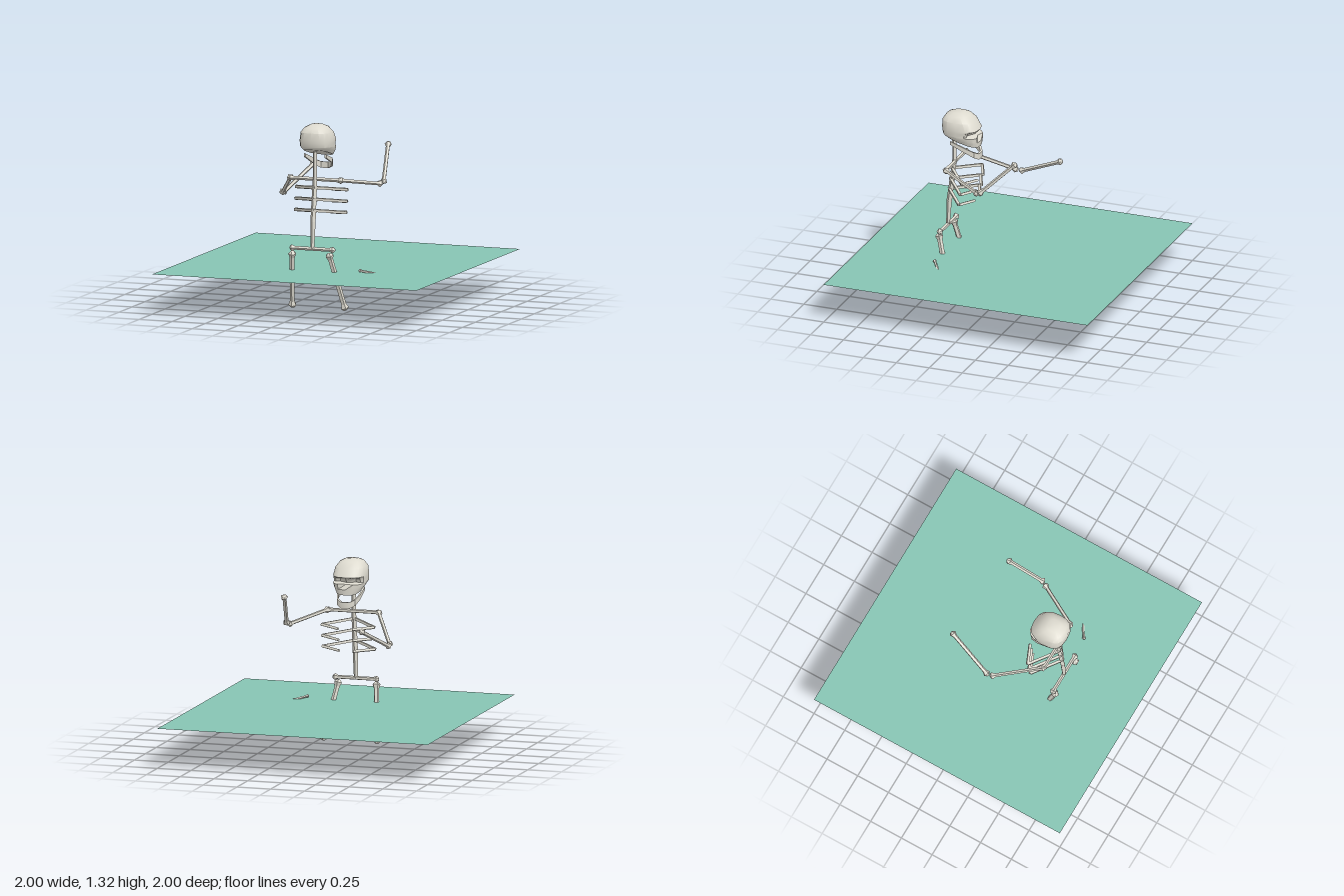
import * as THREE from 'three';
import { toCreasedNormals } from 'three/addons/utils/BufferGeometryUtils.js';

const V = (x, y, z) => new THREE.Vector3(x, y, z);
const boneMat = new THREE.MeshStandardMaterial({ color: 0xdedbd0, flatShading: true });
const skullMat = new THREE.MeshStandardMaterial({ color: 0xdedbd0, side: THREE.DoubleSide });
const groundMat = new THREE.MeshStandardMaterial({ color: 0x86c4b3, side: THREE.DoubleSide });

// Skin a list of equal-length rings and cap both ends
function loft(rings) {
  const n = rings[0].length, tris = [];
  for (let i = 0; i < rings.length - 1; i++) {
    for (let j = 0; j < n; j++) {
      const k = (j + 1) % n;
      const a = rings[i][j], b = rings[i][k], c = rings[i + 1][k], d = rings[i + 1][j];
      tris.push(a, b, c, a, c, d);
    }
  }
  const cap = (ring, flip) => {
    const mid = V(0, 0, 0);
    ring.forEach(p => mid.addScaledVector(p, 1 / n));
    ring.forEach((p, j) => {
      const q = ring[(j + 1) % n];
      if (flip) tris.push(mid, q, p); else tris.push(mid, p, q);
    });
  };
  cap(rings[0], true);
  cap(rings[rings.length - 1], false);
  return toCreasedNormals(new THREE.BufferGeometry().setFromPoints(tris), 0.6);
}

// Place a y-axis geometry so that it runs from a to b
function align(geometry, a, b, name) {
  const mesh = new THREE.Mesh(geometry, boneMat);
  mesh.name = name;
  mesh.position.copy(a);
  mesh.quaternion.setFromUnitVectors(V(0, 1, 0), b.clone().sub(a).normalize());
  return mesh;
}

// Bone with a knob at each end; the knobs reach a little past a and b
function bone(name, a, b, r, k) {
  const dir = b.clone().sub(a).normalize(), e = k * 0.7;
  const p = a.clone().addScaledVector(dir, -e), q = b.clone().addScaledVector(dir, e);
  const L = p.distanceTo(q);
  const profile = [[0, 0], [k * 0.5, k * 0.15], [k, k * 0.7], [r, k * 1.7],
    [r, L - k * 1.7], [k, L - k * 0.7], [k * 0.5, L - k * 0.15], [0, L]];
  return align(new THREE.LatheGeometry(profile.map(s => new THREE.Vector2(...s)), 5), p, q, name);
}

// Plain four-sided rod
function rod(name, a, b, r0, r1) {
  const L = a.distanceTo(b);
  return align(new THREE.CylinderGeometry(r1, r0, L, 4).translate(0, L / 2, 0), a, b, name);
}

function makeSkull() {
  const skull = new THREE.Group();
  skull.name = 'skull';
  // Rings: y back, y front, z back, z front, half width, socket depth, nose depth
  const rows = [
    [1.165, 1.095, 0.462, 0.208, 0.09, 0, 0],
    [1.172, 1.135, 0.468, 0.205, 0.107, 0, 0],
    [1.178, 1.172, 0.474, 0.205, 0.115, 0, 0.025],
    [1.185, 1.18, 0.477, 0.232, 0.116, 0.05, 0.02],
    [1.215, 1.205, 0.482, 0.225, 0.117, 0.045, 0],
    [1.235, 1.22, 0.483, 0.213, 0.118, 0, 0],
    [1.285, 1.28, 0.481, 0.246, 0.108, 0, 0],
    [1.315, 1.32, 0.46, 0.29, 0.08, 0, 0],
    [1.332, 1.337, 0.42, 0.33, 0.045, 0, 0],
  ];
  const n = 16, pow = v => Math.sign(v) * Math.abs(v) ** 0.72;
  const rings = rows.map(([yb, yf, zb, zf, w, socket, nose]) =>
    Array.from({ length: n }, (_, j) => {
      const t = j / n * Math.PI * 2, c = pow(Math.cos(t));
      const p = V(-w * pow(Math.sin(t)), 0, (zb + zf) / 2 - c * (zb - zf) / 2);
      p.y = yf + (yb - yf) * (1 - c) / 2;
      if (j === 1 || j === n - 1) p.z += socket;
      if (j === 2 || j === n - 2) p.z += socket * 0.4;
      if (j === 0) p.z += nose;
      return p;
    }));
  const cranium = new THREE.Mesh(loft(rings), skullMat);
  cranium.name = 'cranium';

  // Open U-shaped jaw: x, y middle, z, half height
  const half = [[0.085, 1.117, 0.405, 0.012], [0.086, 1.073, 0.29, 0.017],
    [0.068, 1.043, 0.23, 0.021], [0.032, 1.024, 0.206, 0.022]];
  const path = [...half, ...half.slice().reverse().map(([x, ...s]) => [-x, ...s])];
  const jaw = new THREE.Mesh(loft(path.map(([x, y, z, h]) => {
    const ix = x * 0.86, iz = z + (z < 0.25 ? 0.014 : 0);
    return [V(x, y + h, z), V(x, y - h, z), V(ix, y - h, iz), V(ix, y + h, iz)];
  })), skullMat);
  jaw.name = 'jaw';
  skull.add(cranium, jaw);
  return skull;
}

export function createModel() {
  const model = new THREE.Group();

  // Ground sheet that the figure rises through
  const ground = new THREE.Mesh(new THREE.PlaneGeometry(2, 2).rotateX(-Math.PI / 2), groundMat);
  ground.name = 'ground';
  ground.position.y = 0.3;
  model.add(ground, makeSkull());

  // Spine, collar bar and hip bar
  model.add(
    rod('neck', V(0, 0.94, 0.405), V(0, 1.145, 0.407), 0.017, 0.016),
    rod('upperSpine', V(0, 0.64, 0.445), V(0, 0.96, 0.405), 0.02, 0.017),
    rod('lowerSpine', V(0, 0.46, 0.455), V(0, 0.65, 0.445), 0.014, 0.02),
    bone('collarBar', V(-0.185, 0.95, 0.4), V(0.185, 0.95, 0.4), 0.014, 0.022),
    bone('hipBar', V(-0.155, 0.46, 0.455), V(0.155, 0.46, 0.455), 0.014, 0.025),
  );

  // Three pairs of bent ribs
  const ribs = new THREE.Group();
  ribs.name = 'ribs';
  for (const s of [-1, 1]) {
    for (const [y, z] of [[0.893, 0.425], [0.812, 0.437], [0.733, 0.447]]) {
      const corner = V(s * 0.195, y - 0.027, z - 0.153);
      ribs.add(rod('backRib', V(0, y, z), corner, 0.013, 0.013),
        rod('frontRib', corner, V(s * 0.052, y - 0.04, z - 0.215), 0.013, 0.012));
    }
  }
  model.add(ribs);

  // Arms, one raised higher than the other
  model.add(
    bone('leftUpperArm', V(0.19, 0.95, 0.395), V(0.37, 0.893, 0.09), 0.014, 0.026),
    bone('leftForearm', V(0.385, 0.905, 0.06), V(0.325, 1.135, -0.18), 0.015, 0.026),
    bone('rightUpperArm', V(-0.19, 0.95, 0.395), V(-0.37, 0.79, 0.085), 0.014, 0.026),
    bone('rightForearm', V(-0.375, 0.785, 0.045), V(-0.283, 0.94, -0.285), 0.015, 0.026),
  );

  // Legs
  model.add(
    bone('leftLeg', V(0.133, 0.42, 0.468), V(0.208, 0.036, 0.362), 0.019, 0.03),
    bone('rightLeg', V(-0.147, 0.42, 0.468), V(-0.187, 0.036, 0.362), 0.019, 0.03),
  );

  // Loose bone half sunk in the ground
  model.add(bone('looseBone', V(0.345, 0.318, 0.418), V(0.497, 0.277, 0.32), 0.009, 0.014));
  return model;
}
